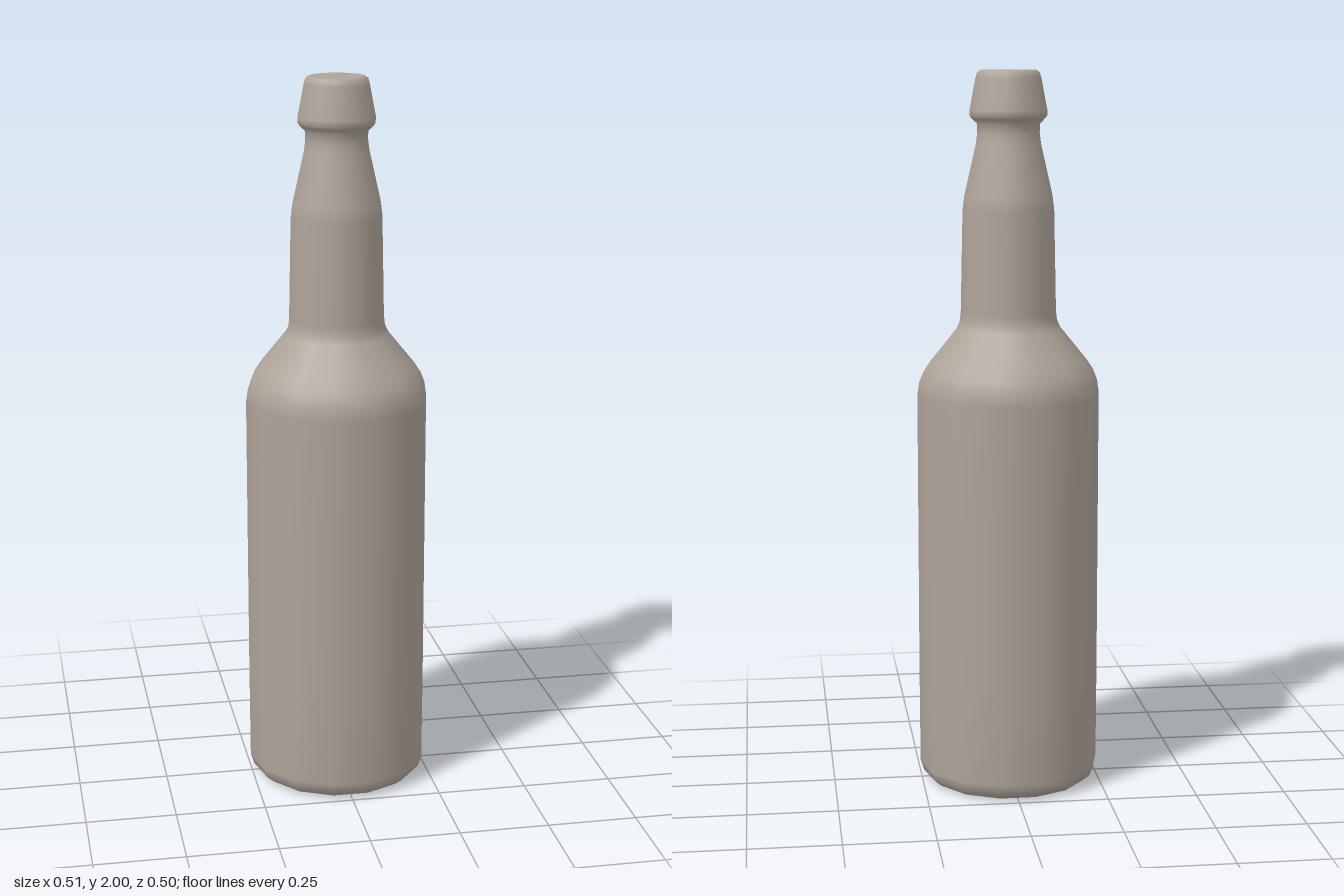
import * as THREE from 'three';

const SIDES = 14;
const material = new THREE.MeshStandardMaterial({ color: 0xaea399 });

// Revolves a [radius, height] profile, with a corner of the polygon on the x axis
function turned(name, profile) {
  const points = profile.map(([r, y]) => new THREE.Vector2(r, y));
  const mesh = new THREE.Mesh(new THREE.LatheGeometry(points, SIDES, Math.PI / 2), material);
  mesh.name = name;
  return mesh;
}

export function createModel() {
  const group = new THREE.Group();
  group.name = 'bottle';

  // Base and straight body, rounded into the flat underside
  group.add(turned('bottleBody', [
    [0, 0], [0.2, 0], [0.225, 0.004], [0.244, 0.02], [0.254, 0.05],
    [0.255, 0.32], [0.255, 0.8], [0.255, 1.11],
    // Shoulder
    [0.25, 1.145], [0.238, 1.175], [0.218, 1.205],
    [0.145, 1.295], [0.136, 1.315], [0.133, 1.34],
    // Neck
    [0.127, 1.62], [0.122, 1.66],
    [0.09, 1.8], [0.086, 1.83], [0.087, 1.855],
    // Flared lip with a softened rim and closed top
    [0.1, 1.868], [0.107, 1.877], [0.107, 1.892],
    [0.09, 1.98], [0.086, 1.993], [0.076, 2], [0.07, 2], [0, 2],
  ]));

  return group;
}
